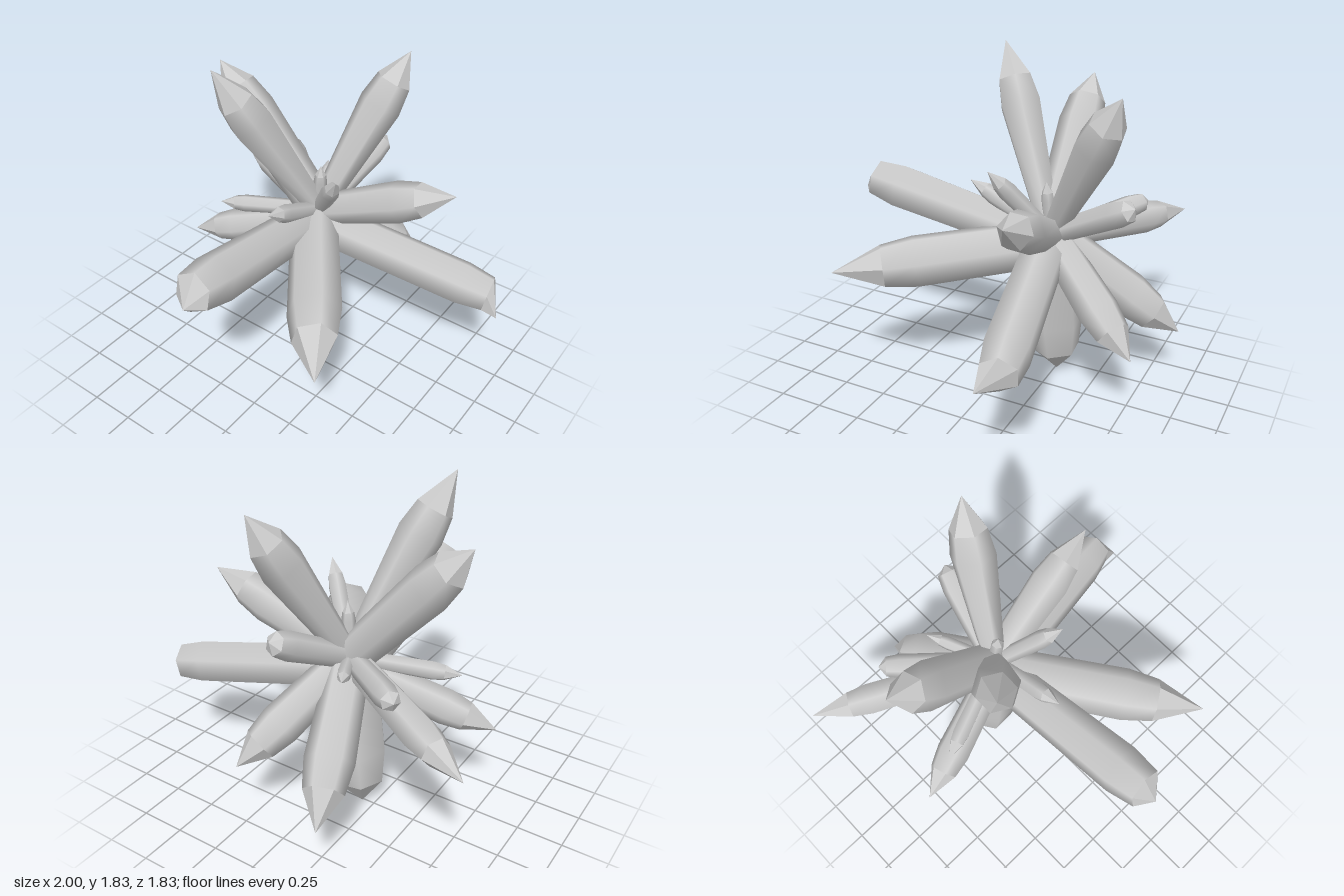
import * as THREE from 'three';

const SIDES = 6;
const CORE = [-0.09, 0.89, -0.24];
const LOW_CORE = [-0.11, 0.83, -0.22];
const material = new THREE.MeshStandardMaterial({ color: 0xcccccc, side: THREE.DoubleSide });

// Every crystal grows straight from its root near the core to its apex.
// apex, widest radius, tip length, then optionally the share of the radius
// left at the root, the root itself and a sideways lean of the apex off the axis
const CRYSTALS = {
  upperFrontCrystal: { apex: [-0.43, 1.83, 0.2], radius: 0.12, tip: 0.22, taper: 0.5 },
  upperBackCrystal: { apex: [0.17, 1.755, -0.69], radius: 0.12, tip: 0.18, taper: 0.5 },
  upperRightCrystal: { apex: [-0.74, 1.63, -0.21], radius: 0.125, tip: 0.17 },
  upperLeftCrystal: { apex: [0.69, 1.24, -0.34], radius: 0.115, tip: 0.2, taper: 0.75 },
  longLeftCrystal: { apex: [1, 0.57, -0.35], radius: 0.125, tip: 0.1, taper: 1, root: LOW_CORE, lean: [0, -0.05, 0.1] },
  frontLeftCrystal: { apex: [0.58, 0.74, 0.725], radius: 0.145, tip: 0.27, taper: 0.95, root: LOW_CORE },
  frontCrystal: { apex: [-0.05, 0.99, 0.91], radius: 0.135, tip: 0.08, root: LOW_CORE, lean: [0, -0.07, 0] },
  backRightCrystal: { apex: [-1, 0.79, -0.73], radius: 0.095, tip: 0.22 },
  lowerRightCrystal: { apex: [-0.83, 0.57, 0], radius: 0.095, tip: 0.17, root: LOW_CORE },
  bottomCrystal: { apex: [-0.18, 0, -0.26], radius: 0.165, tip: 0.16, taper: 0.92 },
  lowerBackCrystal: { apex: [-0.34, 0.33, -0.92], radius: 0.13, tip: 0.2 },
  lowerBackLeftCrystal: { apex: [0.22, 0.425, -0.825], radius: 0.115, tip: 0.17 },
  smallBackCrystal: { apex: [0.03, 1.17, -0.74], radius: 0.075, tip: 0.04 },
  smallLeftCrystal: { apex: [0.18, 1.295, 0], radius: 0.05, tip: 0.1 },
  smallFrontCrystal: { apex: [-0.07, 1.13, 0.235], radius: 0.05, tip: 0.1 },
  smallBackRightCrystal: { apex: [-0.58, 0.98, -0.62], radius: 0.065, tip: 0.04 },
  smallRightCrystal: { apex: [-0.63, 0.84, -0.02], radius: 0.05, tip: 0.09 },
  thinBackCrystal: { apex: [-0.27, 0.97, -0.585], radius: 0.037, tip: 0.08 },
  tinyTopCrystal: { apex: [-0.065, 1.195, -0.22], radius: 0.037, tip: 0.06 },
};

function createCrystal(name, { apex, radius, tip, taper = 0.85, root = CORE, lean = [0, 0, 0] }, turn) {
  const crystal = new THREE.Group();
  crystal.name = name;
  crystal.position.set(...root);
  const peak = new THREE.Vector3(...apex).sub(crystal.position);
  const axis = peak.clone().sub(new THREE.Vector3(...lean));
  const length = axis.length() - tip;
  crystal.quaternion.setFromUnitVectors(new THREE.Vector3(0, 1, 0), axis.normalize());
  peak.applyQuaternion(crystal.quaternion.clone().invert());

  // Smooth-sided prism, widest just below the narrower shoulder
  const shoulder = radius * 0.82;
  const profile = [
    new THREE.Vector2(radius * taper, 0),
    new THREE.Vector2(radius, length - radius * 1.2),
    new THREE.Vector2(shoulder, length),
  ];
  const body = new THREE.Mesh(new THREE.LatheGeometry(profile, SIDES, turn), material);
  body.name = 'crystalBody';

  // Faceted tip reaching its apex
  const corners = [];
  for (let i = 0; i < SIDES; i++) {
    for (const k of [i, i + 1]) {
      const a = turn + (k / SIDES) * Math.PI * 2;
      corners.push(shoulder * Math.sin(a), length, shoulder * Math.cos(a));
    }
    corners.push(peak.x, peak.y, peak.z);
  }
  const facets = new THREE.BufferGeometry();
  facets.setAttribute('position', new THREE.Float32BufferAttribute(corners, 3));
  facets.computeVertexNormals();
  const point = new THREE.Mesh(facets, material);
  point.name = 'crystalTip';

  crystal.add(body, point);
  return crystal;
}

export function createModel() {
  const cluster = new THREE.Group();
  cluster.name = 'crystalCluster';
  Object.entries(CRYSTALS).forEach(([name, spec], i) => cluster.add(createCrystal(name, spec, i * 0.7)));
  return cluster;
}
